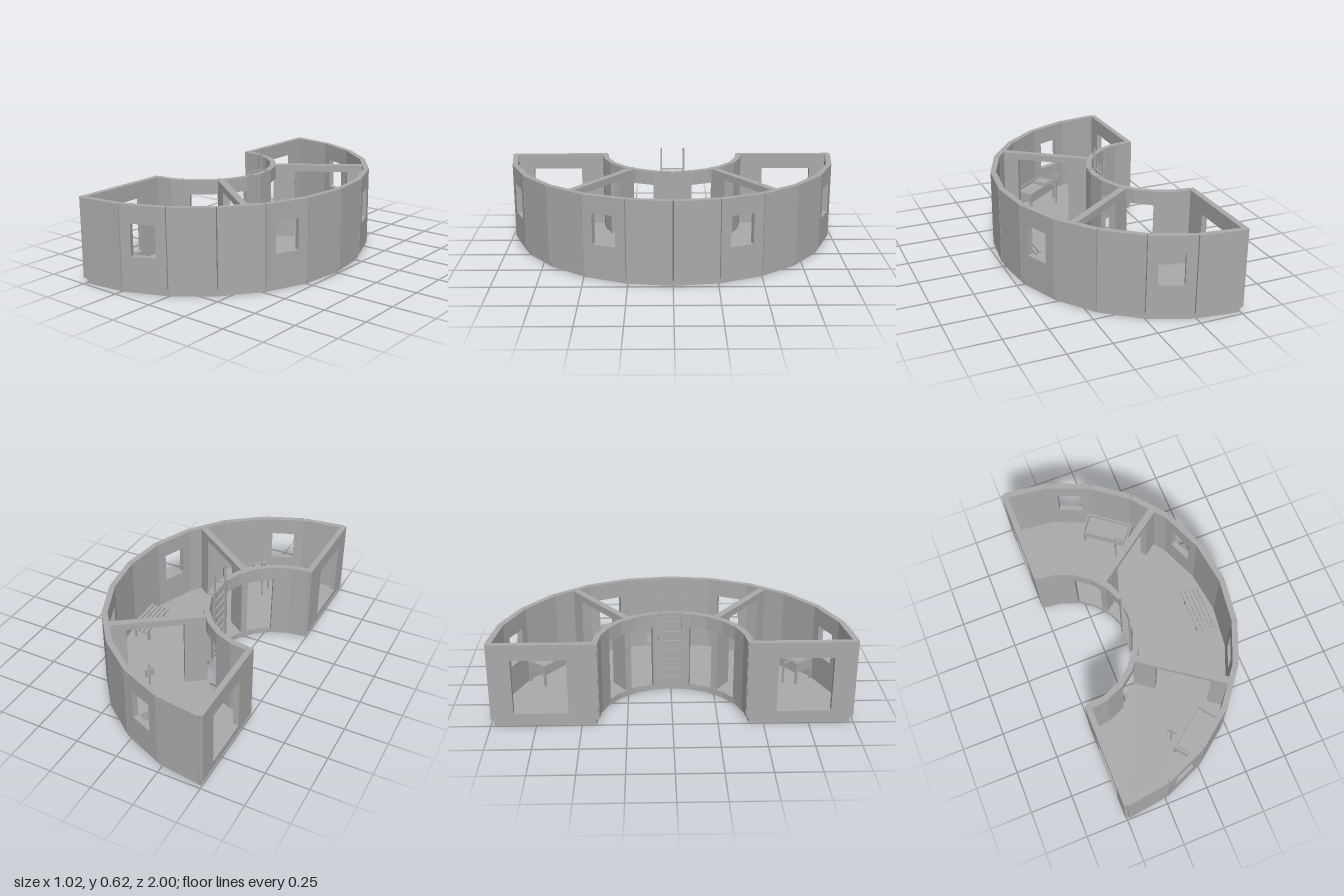
import * as THREE from 'three';

const CX = -0.492;               // centre of the ring
const FLOOR = 0.037, TOP = 0.492;
const STEP = Math.PI / 12;       // 15 degree panels
const rad = (d) => d * Math.PI / 180;

const grey = new THREE.MeshStandardMaterial({ color: 0xaaaaaa });
grey.name = 'concreteGrey';

function add(parent, geo, name) {
  const m = new THREE.Mesh(geo, grey);
  m.name = name;
  parent.add(m);
  return m;
}

function box(parent, name, w, h, d, x, y, z) {
  const m = add(parent, new THREE.BoxGeometry(w, h, d), name);
  m.position.set(x, y, z);
  return m;
}

function rect(Type, x0, x1, y0, y1) {
  const p = new Type();
  p.moveTo(x0, y0); p.lineTo(x1, y0); p.lineTo(x1, y1); p.lineTo(x0, y1); p.closePath();
  return p;
}

// upright slab with an optional rectangular hole, thickness along +z
function slab(x0, x1, y0, y1, depth, hole) {
  const s = rect(THREE.Shape, x0, x1, y0, y1);
  if (hole) s.holes.push(rect(THREE.Path, ...hole));
  return new THREE.ExtrudeGeometry(s, { depth, bevelEnabled: false });
}

// one mitred panel of a ring wall, with a hairline groove at its outer edges
function ringPanel(parent, name, index, radius, thick, y0, hole) {
  const apothem = radius * Math.cos(STEP / 2), half = radius * Math.sin(STEP / 2);
  const geo = slab(-half, half, y0, TOP, thick, hole);
  geo.translate(0, 0, apothem - thick);
  const p = geo.attributes.position;
  for (let i = 0; i < p.count; i++) {
    if (Math.abs(p.getX(i)) < half - 1e-4) continue;
    const z = p.getZ(i);
    const groove = radius > 0.8 && z > apothem - 1e-4 ? 0.003 : 0;
    p.setX(i, Math.sign(p.getX(i)) * (z * Math.tan(STEP / 2) - groove));
  }
  geo.computeVertexNormals();
  add(parent, geo, name).rotation.y = (index + 0.5) * STEP;
}

export function createModel() {
  const model = new THREE.Group();
  model.name = 'halfRingHouse';
  const ring = new THREE.Group();
  ring.name = 'ring';
  ring.position.x = CX;
  model.add(ring);

  // floor slab: half ring, slightly inset from the walls
  const floor = new THREE.Shape();
  for (let i = 0; i <= 12; i++) {
    const a = -Math.PI / 2 + i * STEP;
    floor[i ? 'lineTo' : 'moveTo'](0.98 * Math.cos(a), 0.98 * Math.sin(a));
  }
  for (let i = 12; i >= 0; i--) {
    const a = -Math.PI / 2 + i * STEP;
    floor.lineTo(0.42 * Math.cos(a), 0.42 * Math.sin(a));
  }
  floor.closePath();
  const floorGeo = new THREE.ExtrudeGeometry(floor, { depth: FLOOR, bevelEnabled: false });
  floorGeo.rotateX(-Math.PI / 2);
  add(ring, floorGeo, 'floor');

  // outer wall with four windows, inner wall with wide doorways under lintels
  for (let i = 0; i < 12; i++) {
    const k = Math.min(i, 11 - i);
    const win = k === 1 || k === 4 ? [-0.07, 0.07, 0.21, 0.39] : null;
    ringPanel(ring, 'outerWallPanel', i, 1, 0.033, FLOOR, win);
    const open = k >= 2 && k <= 4;
    ringPanel(ring, open ? 'innerLintel' : 'innerWallPanel', i, 0.435, 0.033, open ? 0.41 : FLOOR);
  }

  for (const s of [1, -1]) {
    // flat end walls with a large window
    const u = (a, b) => (s > 0 ? [a, b] : [-b, -a]);
    const end = add(ring, slab(...u(0.405, 0.99), FLOOR, TOP, 0.033, [...u(0.57, 0.87), 0.08, 0.40]), 'endWall');
    end.rotation.y = -Math.PI / 2;
    end.position.x = 0.017;

    // radial partitions with an opening
    const door = new THREE.Shape();
    [[0.42, FLOOR], [0.55, FLOOR], [0.55, 0.45], [0.87, 0.45], [0.87, FLOOR], [0.96, FLOOR], [0.96, TOP - 0.002], [0.42, TOP - 0.002]]
      .forEach(([x, y], i) => door[i ? 'lineTo' : 'moveTo'](x, y));
    door.closePath();
    const partGeo = new THREE.ExtrudeGeometry(door, { depth: 0.04, bevelEnabled: false });
    partGeo.translate(0, 0, -0.02);
    add(ring, partGeo, 'partition').rotation.y = rad(90 - s * 36) - Math.PI / 2;

    // bed against the outer wall
    const bed = new THREE.Group();
    bed.name = 'bed';
    bed.rotation.y = rad(90 - s * 52.5);
    ring.add(bed);
    const Z = 0.885;
    box(bed, 'bedBase', 0.285, 0.03, 0.132, 0, 0.125, Z);
    for (const e of [1, -1]) {
      box(bed, 'bedSideRail', 0.285, 0.03, 0.008, 0, 0.155, Z + e * 0.062);
      box(bed, 'bedEndRail', 0.008, 0.03, 0.116, e * 0.1385, 0.155, Z);
      for (const f of [1, -1]) box(bed, 'bedLeg', 0.012, 0.075, 0.012, e * 0.136, 0.0735, Z + f * 0.06);
    }
    box(bed, 'mattress', 0.26, 0.012, 0.11, 0, 0.146, Z);
    box(bed, 'pillow', 0.07, 0.02, 0.09, -0.09, 0.16, Z - 0.005);

    // small upright panel on a post beside the bed
    const stand = new THREE.Group();
    stand.name = 'bedsideStand';
    stand.position.set(-0.083, 0, 0.77);
    bed.add(stand);
    box(stand, 'standPost', 0.009, 0.253, 0.009, 0, 0.1635, 0);
    box(stand, 'standPanel', 0.006, 0.05, 0.055, 0, 0.235, 0).rotation.y = rad(8);
    box(stand, 'standArm', 0.008, 0.008, 0.055, 0, 0.165, 0.03);
  }

  // slatted bench in the middle room
  const bench = new THREE.Group();
  bench.name = 'bench';
  bench.position.set(0.37, 0, -0.005);
  model.add(bench);
  for (let i = 0; i < 5; i++) box(bench, 'benchSlat', 0.017, 0.01, 0.28, (i - 2) * 0.0255, 0.125, 0);
  for (const s of [1, -1]) {
    box(bench, 'benchBearer', 0.115, 0.01, 0.015, 0, 0.115, s * 0.09);
    for (const f of [1, -1]) box(bench, 'benchLeg', 0.014, 0.075, 0.014, f * 0.045, 0.0735, s * 0.09);
  }

  // ladder to the roof edge on the courtyard side
  const ladder = new THREE.Group();
  ladder.name = 'ladder';
  model.add(ladder);
  for (const s of [1, -1]) {
    box(ladder, 'ladderRail', 0.01, 0.585, 0.01, -0.106, 0.3325, s * 0.066);
    box(ladder, 'ladderHook', 0.045, 0.008, 0.01, -0.0875, 0.496, s * 0.066);
  }
  for (let i = 0; i < 8; i++) box(ladder, 'ladderRung', 0.008, 0.008, 0.13, -0.106, 0.09 + i * 0.0585, 0);
  return model;
}
